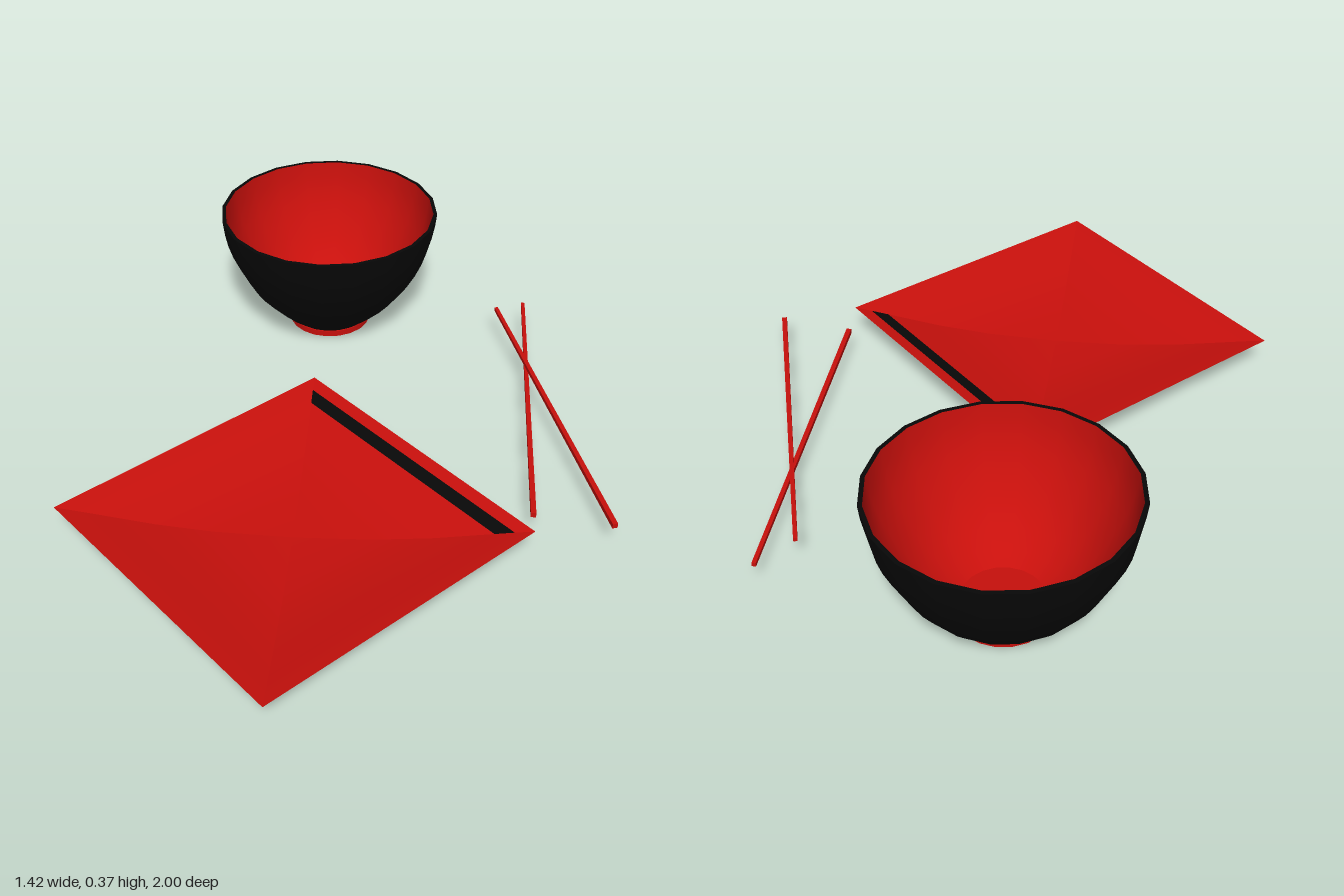
import * as THREE from 'three';

const red = new THREE.MeshStandardMaterial({ color: 0xc8100c });
const black = new THREE.MeshStandardMaterial({ color: 0x080808 });
const toPoints = (list) => list.map(([r, y]) => new THREE.Vector2(r, y));

function add(parent, name, geometry, material) {
  const mesh = new THREE.Mesh(geometry, material);
  mesh.name = name;
  parent.add(mesh);
  return mesh;
}

// One quarter of a four-sided dish; segments listed in blackBands are black.
function addSide(parent, name, profile, side, blackBands) {
  const geometry = new THREE.LatheGeometry(toPoints(profile), 1, side * Math.PI / 2, Math.PI / 2);
  geometry.computeVertexNormals();
  for (let i = 0; i < profile.length - 1; i++) {
    geometry.addGroup(i * 6, 6, blackBands.includes(i) ? 1 : 0);
  }
  add(parent, name, geometry, [red, black]);
}

function createBowl() {
  const bowl = new THREE.Group();
  bowl.name = 'bowl';
  const lathe = (name, list, material) =>
    add(bowl, name, new THREE.LatheGeometry(toPoints(list), 20), material);

  lathe('bowlOutside', [[0.118, 0.017], [0.155, 0.048], [0.198, 0.09], [0.228, 0.125], [0.252, 0.16],
    [0.277, 0.205], [0.297, 0.25], [0.31, 0.29], [0.318, 0.33], [0.323, 0.372]], black);
  lathe('bowlRim', [[0.323, 0.372], [0.312, 0.372]], black);
  lathe('bowlInside', [[0.312, 0.372], [0.307, 0.33], [0.298, 0.29], [0.285, 0.25], [0.265, 0.205],
    [0.24, 0.16], [0.216, 0.125], [0.186, 0.09], [0.145, 0.055], [0.105, 0.032]], red);
  lathe('bowlFloor', [[0.105, 0.032], [0, 0.032]], red);
  const foot = add(bowl, 'bowlFoot', new THREE.CylinderGeometry(0.123, 0.123, 0.018, 20), red);
  foot.position.y = 0.009;
  return bowl;
}

function createPlate() {
  const plate = new THREE.Group();
  plate.name = 'squarePlate';
  const under = [[0.145, 0.017], [0.25, 0.027], [0.35, 0.041], [0.45, 0.058], [0.5, 0.068], [0.605, 0.09]];
  const inside = [[0.605, 0.09], [0.555, 0.083], [0.505, 0.075], [0.35, 0.05], [0.2, 0.035], [0, 0.029]];
  // Sides run from front left round to the back, right and front again.
  const underBands = [[4], [0, 1, 2, 4], [], []];
  const insideBands = [[], [1], [], []];
  const footBands = [[], [], [], [0]];
  for (let side = 0; side < 4; side++) {
    addSide(plate, 'plateUnderside', under, side, underBands[side]);
    addSide(plate, 'plateInside', inside, side, insideBands[side]);
    addSide(plate, 'plateFoot', [[0.145, 0], [0.145, 0.018]], side, footBands[side]);
    addSide(plate, 'plateFootBase', [[0, 0], [0.145, 0]], side, []);
  }
  return plate;
}

// Square stick tapering from its thick end to its tip.
function createChopstick(thickEnd, tip) {
  const a = new THREE.Vector3(...thickEnd);
  const b = new THREE.Vector3(...tip);
  const geometry = new THREE.BoxGeometry(0.014, 0.014, a.distanceTo(b));
  const p = geometry.attributes.position;
  for (let i = 0; i < p.count; i++) {
    if (p.getZ(i) > 0) p.setXY(i, p.getX(i) * 0.75, p.getY(i) * 0.75);
  }
  geometry.computeVertexNormals();
  const stick = new THREE.Mesh(geometry, red);
  stick.name = 'chopstick';
  stick.position.copy(a).add(b).multiplyScalar(0.5);
  stick.lookAt(b);
  return stick;
}

export function createModel() {
  const model = new THREE.Group();
  model.name = 'tableware';

  const bowl = createBowl();
  bowl.position.set(-0.1, 0, -0.677);
  const plate = createPlate();
  plate.position.set(-0.105, 0, 0.393);
  model.add(bowl, plate);

  model.add(createChopstick([0.5, 0.066, 0.305], [0.5, 0.064, -0.682]));
  model.add(createChopstick([0.703, 0.068, 0.333], [0.415, 0.09, -0.61]));
  return model;
}
